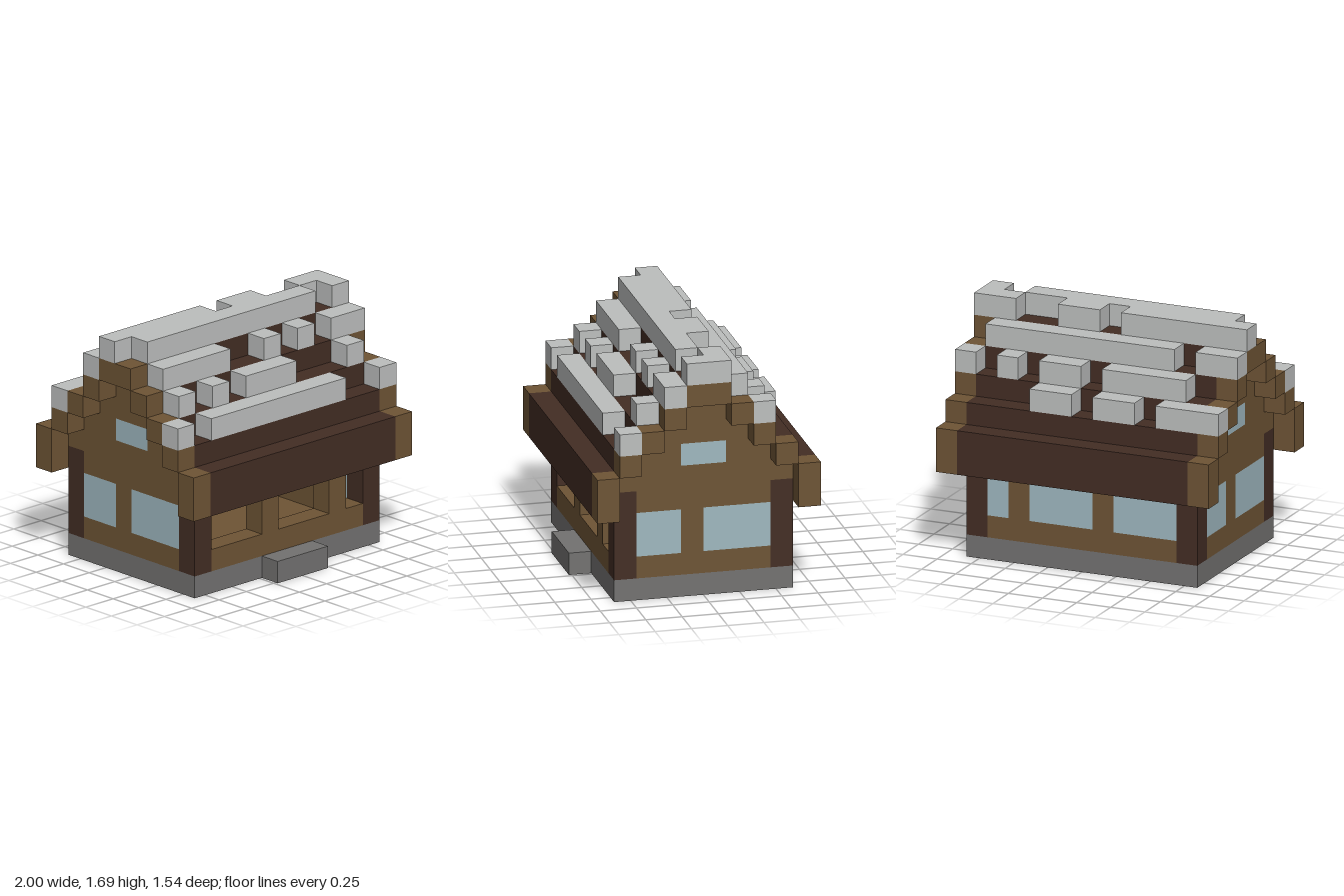
import * as THREE from 'three';

const U = 2 / 13; // one block

const mat = (name, color) => {
  const m = new THREE.MeshStandardMaterial({ color });
  m.name = name;
  return m;
};

export function createModel() {
  const planks = mat('planks', 0x6e5435);
  const darkWood = mat('darkWood', 0x432d24);
  const stone = mat('stone', 0x737271);
  const snow = mat('snow', 0xbdbfbe);
  const glass = mat('glass', 0x9fb8c0);
  const lamp = mat('lamp', 0x96802b);

  const house = new THREE.Group();
  house.name = 'house';

  // Box given by its limits, in blocks
  const box = (name, m, x0, x1, y0, y1, z0, z1) => {
    const mesh = new THREE.Mesh(new THREE.BoxGeometry(x1 - x0, y1 - y0, z1 - z0), m);
    mesh.position.set((x0 + x1) / 2, (y0 + y1) / 2, (z0 + z1) / 2);
    mesh.name = name;
    house.add(mesh);
  };

  // Foundation ring, floor and doorstep
  for (const s of [-1, 1]) {
    box('foundationLong', stone, -5.5, 5.5, 0, 1, s * 3.5 - 0.5, s * 3.5 + 0.5);
    box('foundationShort', stone, s * 5 - 0.5, s * 5 + 0.5, 0, 1, -3, 3);
  }
  box('floor', planks, -4.5, 4.5, 0, 1, -3, 3);
  box('doorstep', stone, -1.5, 1.5, 0, 1, 4, 5);

  // Corner posts
  for (const x of [-5, 5]) for (const z of [-3.5, 3.5])
    box('cornerPost', darkWood, x - 0.5, x + 0.5, 1, 5, z - 0.5, z + 0.5);

  // Front and back walls; the front openings are unglazed
  const openings = [[-4.5, -1.5], [-0.5, 2.5], [3.5, 4.5]];
  for (const [name, z] of [['frontWall', 3], ['backWall', -4]]) {
    box(name + 'Sill', planks, -4.5, 4.5, 1, 2, z, z + 1);
    box(name + 'Header', planks, -4.5, 4.5, 4, 6, z, z + 1);
    for (const x of [-1.5, 2.5]) box(name + 'Pillar', planks, x, x + 1, 2, 4, z, z + 1);
  }
  for (const [a, b] of openings) box('backWindow', glass, a, b, 2, 4, -4, -3);

  // Stepped gable walls with window holes; one is the other turned round
  const half = [[3, 1], [3, 5], [4, 5], [4, 6], [3, 6], [3, 7], [2, 7], [2, 8], [1, 8], [1, 9]];
  const outline = [...half, ...half.map(([z, y]) => [-z, y]).reverse()];
  const windows = [[1, 3, 2, 4], [-3, 0, 2, 4], [-1, 1, 6, 7]];
  for (const s of [1, -1]) {
    const shape = new THREE.Shape(outline.map(([z, y]) => new THREE.Vector2(z, y)));
    const x0 = s > 0 ? 4.5 : -5.5;
    for (const [a, b, y0, y1] of windows) {
      const z0 = s > 0 ? a : -b, z1 = s > 0 ? b : -a;
      shape.holes.push(new THREE.Path([[z0, y0], [z0, y1], [z1, y1], [z1, y0]]
        .map(([z, y]) => new THREE.Vector2(z, y))));
      box('gableWindow', glass, x0, x0 + 1, y0, y1, z0, z1);
    }
    const geo = new THREE.ExtrudeGeometry(shape, { depth: 1, bevelEnabled: false });
    geo.rotateY(-Math.PI / 2).translate(x0 + 1, 0, 0);
    const wall = new THREE.Mesh(geo, planks);
    wall.name = 'gableWall';
    house.add(wall);
  }

  // Lamps on stands in the back corners of the room
  for (const x of [-4.5, 3.5]) {
    box('lampStand', planks, x, x + 1, 1, 2, -3, -2);
    box('lamp', lamp, x, x + 1, 2, 3, -3, -2);
  }

  // Roof courses: dark middle and plank ends; z0, z1, y0, y1
  const courses = [[-1, 1, 9, 10]];
  for (const [z, y0, y1] of [[4, 4, 6], [3, 6, 7], [2, 7, 8], [1, 8, 9]])
    courses.push([z, z + 1, y0, y1], [-z - 1, -z, y0, y1]);
  for (const [z0, z1, y0, y1] of courses) {
    box('roofCourse', darkWood, -5.5, 5.5, y0, y1, z0, z1);
    for (const x of [-6.5, 5.5]) box('roofEnd', planks, x, x + 1, y0, y1, z0, z1);
  }

  // Snow patches, one string per course from back to front
  const rows = [
    '###.##.##....',
    '..####.##.#.#',
    '##.#########.',
    '######.##..##',
    '.##########.#',
    '.####..#.#.##',
    '.#.#.###...#.',
    '#.########..#',
  ];
  rows.forEach((row, i) => {
    const z = i - 4;
    const y = 7 + Math.min(i, 7 - i);
    for (const run of row.matchAll(/#+/g)) {
      const x = run.index - 6.5;
      box('snow', snow, x, x + run[0].length, y, y + 1, z, z + 1);
    }
  });

  house.scale.setScalar(U);
  const model = new THREE.Group();
  model.name = 'snowyCottage';
  model.add(house);
  return model;
}
